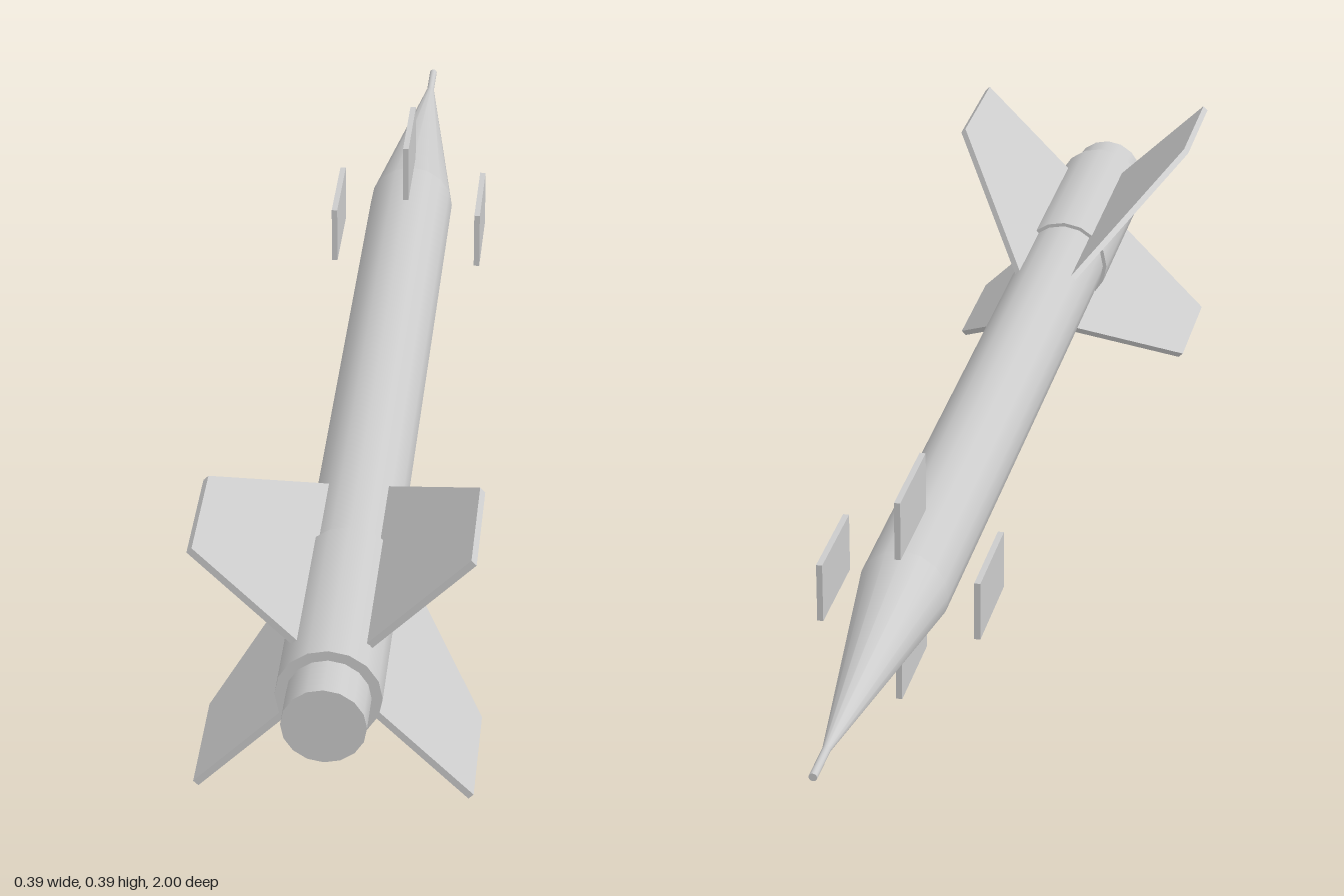
import * as THREE from 'three';

const material = new THREE.MeshStandardMaterial({ color: 0xcccccc });

export function createModel() {
  const model = new THREE.Group();
  model.name = 'rocket';
  model.position.y = 0.195; // height of the long axis

  const add = (name, geometry) => {
    const mesh = new THREE.Mesh(geometry, material);
    mesh.name = name;
    model.add(mesh);
    return mesh;
  };

  // Round sections along z, from the nose end (z0) to the tail end (z1)
  const section = (name, z0, r0, z1, r1) => {
    const geometry = new THREE.CylinderGeometry(r1, r0, z1 - z0, 16);
    geometry.rotateX(Math.PI / 2).translate(0, 0, (z0 + z1) / 2);
    add(name, geometry);
  };
  section('noseProbe', -1, 0.006, -0.92, 0.006);
  section('noseCone', -0.93, 0.006, -0.5, 0.067);
  section('body', -0.5, 0.067, 0.63, 0.067);
  section('tailCollar', 0.62, 0.073, 0.93, 0.073);
  section('nozzle', 0.92, 0.058, 1, 0.058);

  // Four small upright plates around the nose end of the body
  const plate = new THREE.BoxGeometry(0.009, 0.092, 0.153);
  const plateSpots = {
    leftForwardFin: [0.116, 0],
    rightForwardFin: [-0.116, 0],
    upperForwardFin: [0, 0.116],
    lowerForwardFin: [0, -0.116],
  };
  for (const [name, [x, y]] of Object.entries(plateSpots)) {
    add(name, plate).position.set(x, y, -0.455);
  }

  // Four swept tail fins on the diagonals; outline is (radius, z)
  const outline = new THREE.Shape([
    new THREE.Vector2(0.066, 0.47),
    new THREE.Vector2(0.269, 0.695),
    new THREE.Vector2(0.269, 0.88),
    new THREE.Vector2(0.066, 0.88),
  ]);
  const fin = new THREE.ExtrudeGeometry(outline, { depth: 0.01, bevelEnabled: false });
  fin.translate(0, 0, -0.005).rotateX(Math.PI / 2);
  ['upperLeft', 'upperRight', 'lowerRight', 'lowerLeft'].forEach((place, i) => {
    add(place + 'TailFin', fin).rotation.z = Math.PI / 4 + (i * Math.PI) / 2;
  });

  const group = new THREE.Group();
  group.add(model);
  return group;
}
